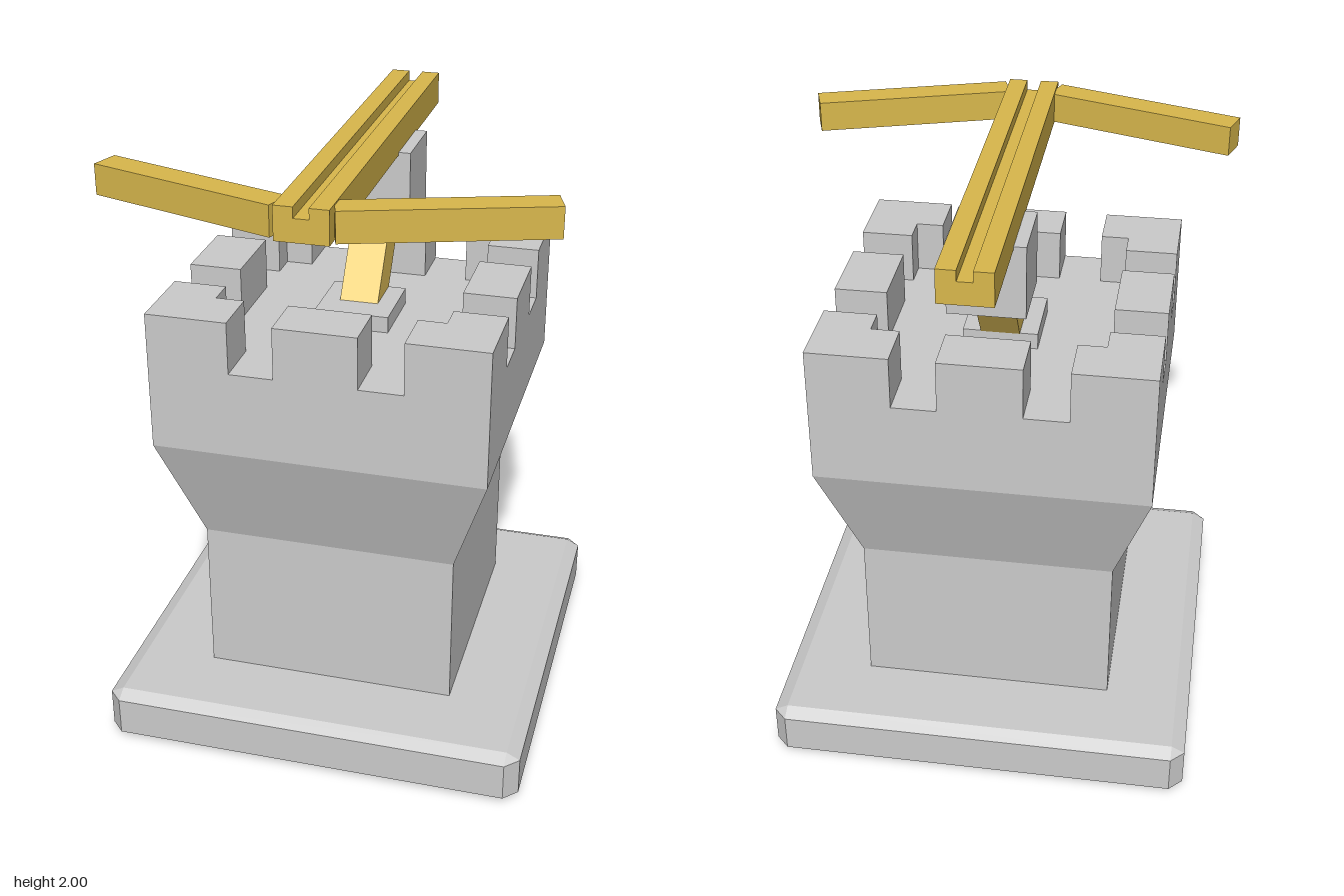
import * as THREE from 'three';
import { ConvexGeometry } from 'three/addons/geometries/ConvexGeometry.js';

const CZ = 0.027; // tower axis in z

export function createModel() {
  const root = new THREE.Group();
  root.name = 'boltTower';
  const stone = new THREE.MeshStandardMaterial({ color: 0xcccccc, flatShading: true });
  const wood = new THREE.MeshStandardMaterial({ color: 0xd9b84c, flatShading: true });
  const strutWood = new THREE.MeshStandardMaterial({ color: 0xe8c65c, flatShading: true });

  const add = (name, geometry, material, x = 0, y = 0, z = 0, parent = root) => {
    const mesh = new THREE.Mesh(geometry, material);
    mesh.name = name;
    mesh.position.set(x, y, z);
    parent.add(mesh);
    return mesh;
  };
  const box = (w, h, d) => new THREE.BoxGeometry(w, h, d);
  // Extrudes an outline upward; outline is given in x and -z
  const slab = (points, height) => {
    const shape = new THREE.Shape(points.map(([x, y]) => new THREE.Vector2(x, y)));
    return new THREE.ExtrudeGeometry(shape, { depth: height, bevelEnabled: false }).rotateX(-Math.PI / 2);
  };

  // Plinth: box with every edge chamfered
  const half = 0.716, inset = half - 0.045, corners = [];
  for (const sx of [-1, 1]) for (const sz of [-1, 1]) for (const [y, yEdge] of [[0, 0.024], [0.18, 0.157]]) {
    corners.push(
      new THREE.Vector3(sx * inset, y, sz * inset),
      new THREE.Vector3(sx * half, yEdge, sz * inset),
      new THREE.Vector3(sx * inset, yEdge, sz * half));
  }
  add('plinth', new ConvexGeometry(corners), stone, 0, 0, CZ);

  // Square shaft flaring into the parapet
  const profile = [[0, 0.17], [0.427, 0.17], [0.427, 0.715], [0.55, 1.09], [0.55, 1.38], [0, 1.38]]
    .map(([r, y]) => new THREE.Vector2(r * Math.SQRT2, y));
  add('tower', new THREE.LatheGeometry(profile, 4, Math.PI / 4), stone, 0, 0, CZ);

  // Battlements: one middle and one L-shaped corner merlon per side
  const o = 0.55, i = 0.375, e = 0.282, h = 0.176;
  const cornerGeo = slab([[e, i], [i, i], [i, e], [o, e], [o, o], [e, o]], h);
  const middleGeo = box(0.272, h, o - i);
  for (let k = 0; k < 4; k++) {
    const side = new THREE.Group();
    side.name = 'battlementSide';
    side.position.set(0, 1.38, CZ);
    side.rotation.y = k * Math.PI / 2;
    add('middleMerlon', middleGeo, stone, 0, h / 2, (o + i) / 2, side);
    add('cornerMerlon', cornerGeo, stone, 0, 0, 0, side);
    root.add(side);
  }

  // Mount: pedestal, leaning strut and head block
  add('pedestal', box(0.25, 0.1, 0.25), stone, 0, 1.385, CZ);
  const foot = new THREE.Vector3(0, 1.365, 0.025), head = new THREE.Vector3(0, 1.76, -0.25);
  const strut = add('strut', box(0.13, foot.distanceTo(head), 0.125), strutWood);
  strut.position.copy(foot).lerp(head, 0.5);
  strut.rotation.x = Math.atan2(head.z - foot.z, head.y - foot.y);
  add('headBlock', box(0.25, 0.245, 0.245), stone, 0, 1.777, -0.263);

  // Grooved rail
  const rail = new THREE.Shape([
    [-0.085, 1.89], [0.085, 1.89], [0.085, 2], [0.024, 2],
    [0.024, 1.965], [-0.024, 1.965], [-0.024, 2], [-0.085, 2],
  ].map(([x, y]) => new THREE.Vector2(x, y)));
  add('rail', new THREE.ExtrudeGeometry(rail, { depth: 1.435, bevelEnabled: false }), wood, 0, 0, -0.745);

  // Swept-back bow arms
  for (const s of [-1, 1]) {
    const arm = add(s > 0 ? 'leftArm' : 'rightArm', box(0.658, 0.1, 0.095), wood, s * 0.397, 1.945, 0.5325);
    arm.rotation.y = s * Math.atan2(0.205, 0.625);
  }
  return root;
}
